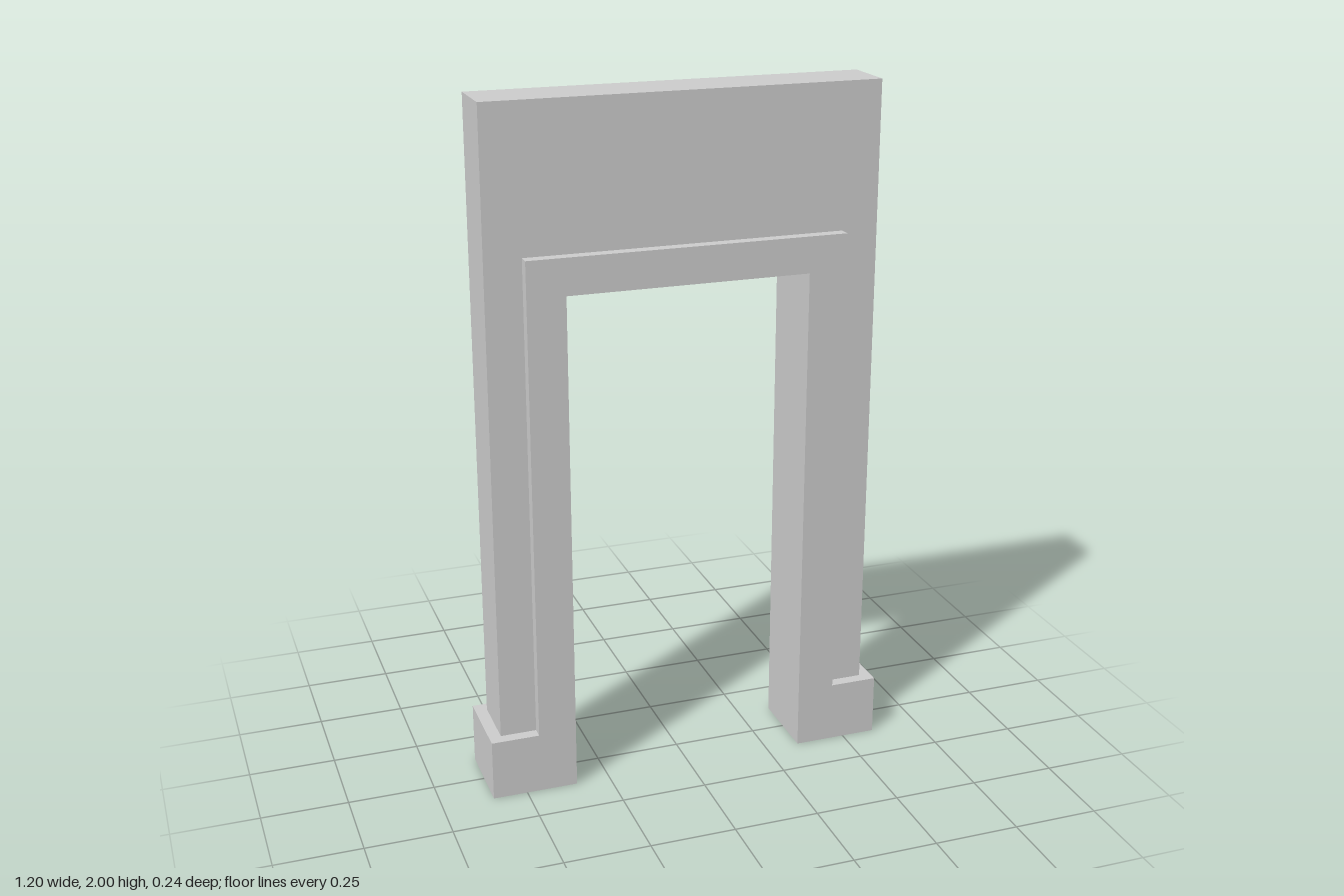
import * as THREE from 'three';

const material = new THREE.MeshStandardMaterial({ color: 0xcccccc, flatShading: true });

// Mirrors the +x half of an outline across x = 0 and extrudes it, centred on z = 0
function mirroredSlab(name, half, depth) {
  const mirrored = half.map(([x, y]) => [-x, y]).reverse();
  const points = [...half, ...mirrored].map(([x, y]) => new THREE.Vector2(x, y));
  const geometry = new THREE.ExtrudeGeometry(new THREE.Shape(points), { depth, bevelEnabled: false });
  geometry.translate(0, 0, -depth / 2);
  const mesh = new THREE.Mesh(geometry, material);
  mesh.name = name;
  return mesh;
}

export function createModel() {
  const group = new THREE.Group();
  group.name = 'doorway';

  const openingX = 0.35, openingY = 1.48; // clear opening
  const trimX = 0.46, trimY = 1.585;      // outside of the raised trim
  const wallX = 0.565, wallY = 2;
  const footX = 0.6, footY = 0.18;

  // Raised door surround with its two block feet
  group.add(mirroredSlab('doorSurround', [
    [openingX, openingY], [openingX, 0], [footX, 0],
    [footX, footY], [trimX, footY], [trimX, trimY],
  ], 0.236));

  // Thinner wall standing on the feet and wrapping the surround
  group.add(mirroredSlab('wall', [
    [trimX, trimY], [trimX, footY], [wallX, footY], [wallX, wallY],
  ], 0.168));

  return group;
}
